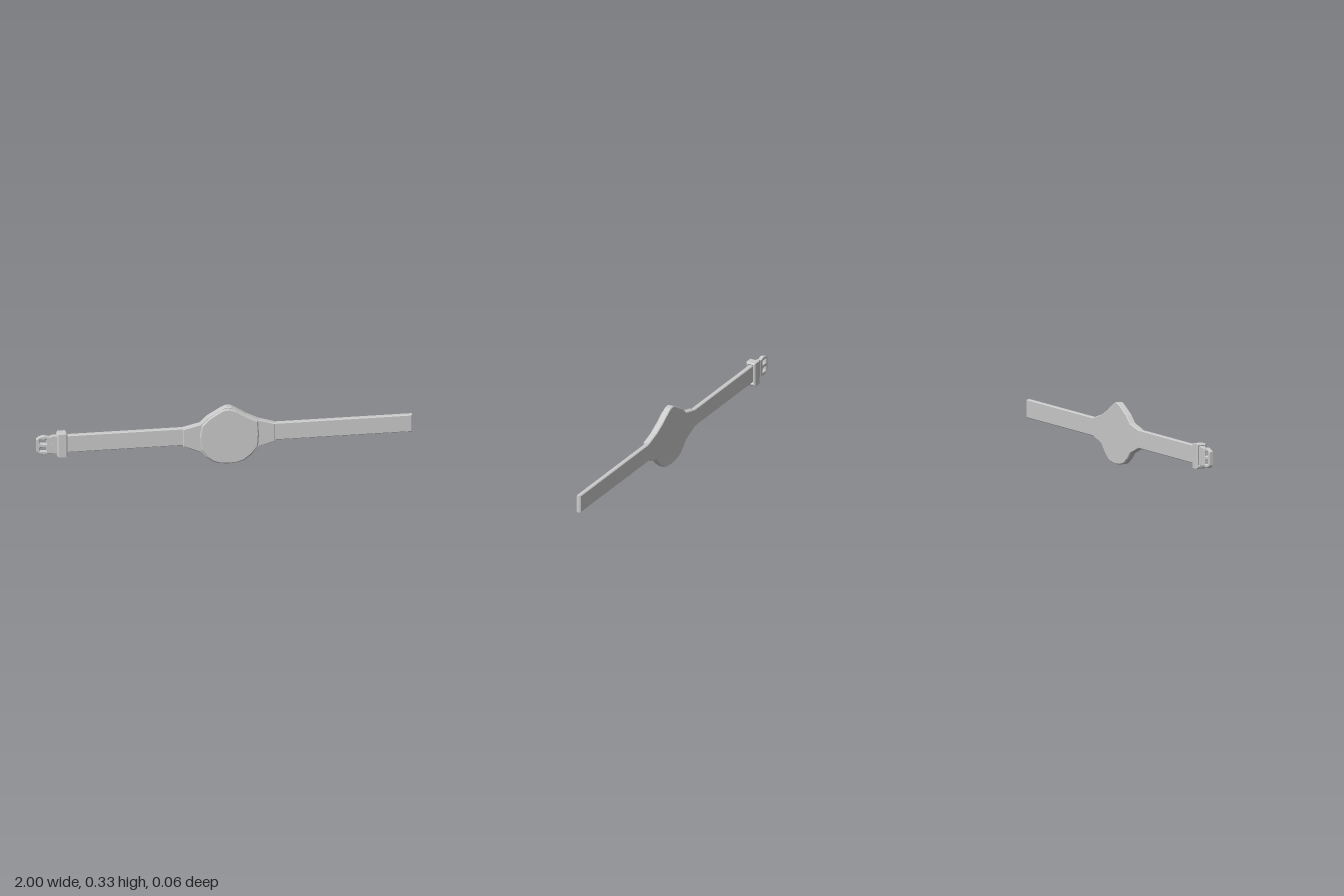
import * as THREE from 'three';

const material = new THREE.MeshStandardMaterial({ color: 0xcccccc, flatShading: true });

function polygon(points) {
  return new THREE.Shape(points.map(([x, y]) => new THREE.Vector2(x, y)));
}

function rectangle(x0, x1, y0, y1) {
  return [[x0, y0], [x1, y0], [x1, y1], [x0, y1]];
}

// Chamfered plate filling z0..z1 without growing past its outline
function plate(shape, z0, z1, bevel) {
  const geometry = new THREE.ExtrudeGeometry(shape, {
    depth: z1 - z0 - 2 * bevel, bevelEnabled: true, bevelSegments: 1,
    bevelSize: bevel, bevelThickness: bevel, bevelOffset: -bevel, curveSegments: 8,
  });
  return geometry.translate(0, 0, z0 + bevel);
}

export function createModel() {
  const group = new THREE.Group();
  const add = (name, geometry) => {
    const mesh = new THREE.Mesh(geometry, material);
    mesh.name = name;
    group.add(mesh);
  };

  // Case with tapering lugs on both sides
  const body = [
    [-0.22, 0.115], [-0.13, 0.077], [-0.1, 0.045], [-0.06, 0.015], [-0.02, 0.004],
    [0.02, 0], [0.065, 0.003], [0.105, 0.014], [0.145, 0.045], [0.187, 0.09], [0.27, 0.115],
    [0.27, 0.217], [0.185, 0.243], [0.12, 0.276], [0.06, 0.315], [0.035, 0.328],
    [0.01, 0.33], [-0.015, 0.32], [-0.09, 0.275], [-0.13, 0.237], [-0.22, 0.215],
  ];
  add('watchCase', plate(polygon(body), -0.013, 0.023, 0.004));

  // Raised face, following the case between the lugs
  const face = [
    [-0.125, 0.09], [-0.095, 0.046], [-0.057, 0.017], [-0.02, 0.006],
    [0.02, 0.002], [0.065, 0.005], [0.103, 0.017], [0.142, 0.048], [0.178, 0.092],
    [0.183, 0.165], [0.178, 0.24], [0.12, 0.27], [0.06, 0.308], [0.02, 0.322],
    [-0.015, 0.314], [-0.085, 0.27], [-0.122, 0.232], [-0.133, 0.165],
  ];
  add('watchFace', plate(polygon(face), 0.01, 0.03, 0.007));

  // Two halves of the strap
  add('leftStrap', plate(polygon(rectangle(0.25, 1, 0.117, 0.215)), -0.013, 0.013, 0.004));
  add('rightStrap', plate(polygon(rectangle(-0.89, -0.2, 0.117, 0.215)), -0.013, 0.013, 0.004));

  // Keeper loop wrapped round the strap
  const loopShape = polygon(rectangle(-0.028, 0.028, 0.097, 0.229));
  loopShape.holes.push(new THREE.Path(
    rectangle(-0.0125, 0.0125, 0.118, 0.214).map(([x, y]) => new THREE.Vector2(x, y))));
  add('keeperLoop', plate(loopShape, -0.89, -0.835, 0.007).rotateY(Math.PI / 2));

  // Strap tab folded round the buckle hinge
  const tab = [[-0.935, 0.124], [-0.918, 0.112], [-0.87, 0.112],
    [-0.87, 0.217], [-0.918, 0.217], [-0.935, 0.206]];
  add('strapTab', plate(polygon(tab), -0.01, 0.01, 0.003));

  // Buckle frame with a window on each side of the prong
  const buckle = polygon([
    [-1, 0.13], [-0.985, 0.117], [-0.96, 0.11], [-0.925, 0.118], [-0.925, 0.209],
    [-0.96, 0.219], [-0.985, 0.212], [-1, 0.2],
  ]);
  for (const [y0, y1] of [[0.13, 0.154], [0.174, 0.198]]) {
    buckle.holes.push(new THREE.Path(
      rectangle(-0.982, -0.946, y0, y1).map(([x, y]) => new THREE.Vector2(x, y))));
  }
  add('buckleFrame', plate(buckle, -0.012, 0.01, 0.003));

  const prong = new THREE.BoxGeometry(0.075, 0.012, 0.008);
  add('buckleProng', prong.translate(-0.955, 0.164, 0.01));

  const hinge = new THREE.CylinderGeometry(0.01, 0.01, 0.09, 8);
  add('buckleHinge', hinge.translate(-0.932, 0.164, 0));

  return group;
}
